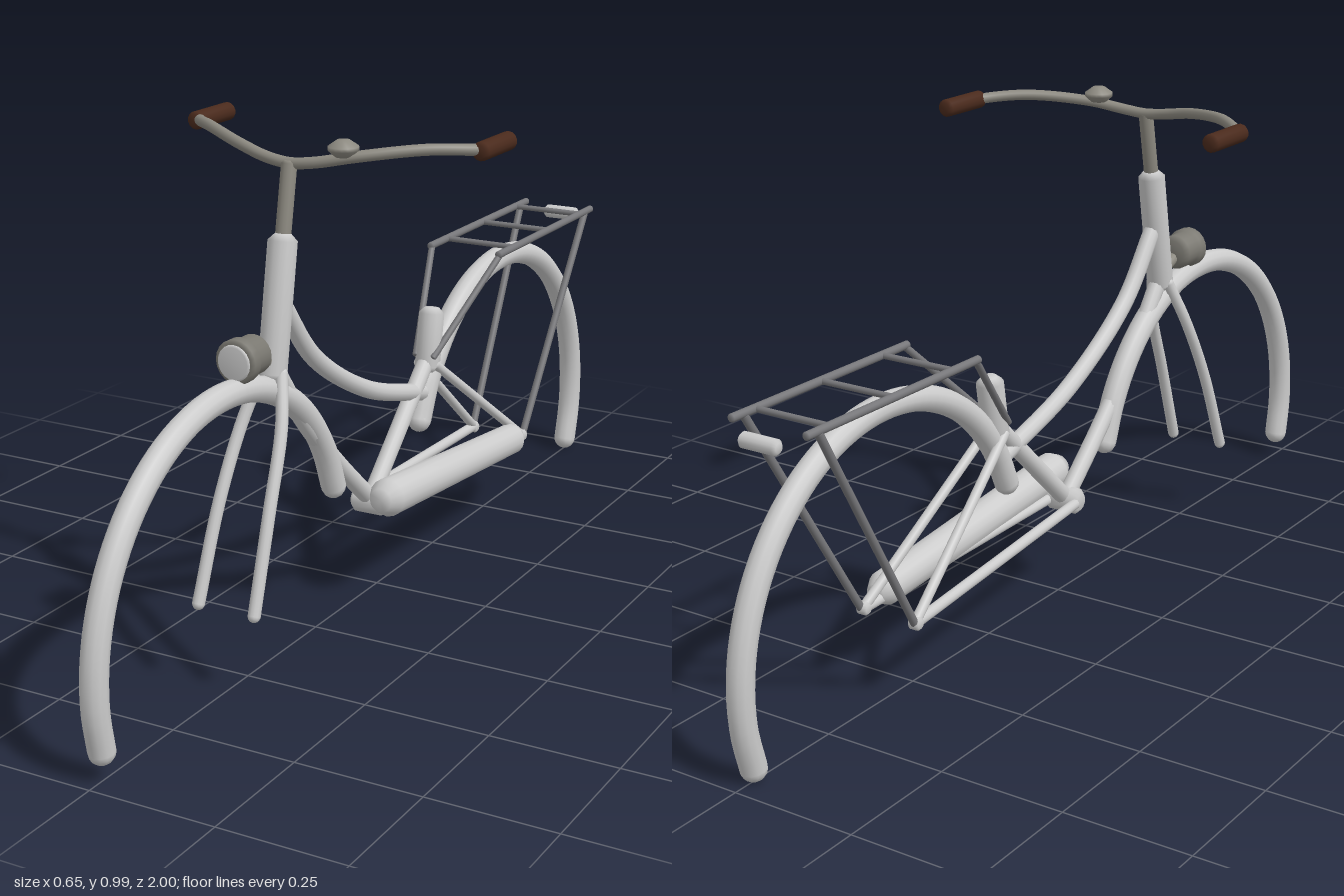
import * as THREE from 'three';

const mat = (color) => new THREE.MeshStandardMaterial({ color });
const V = (p) => new THREE.Vector3(...p);

export function createModel() {
  const model = new THREE.Group();
  const paint = mat(0xcccccc), metal = mat(0x8c8980), rackMetal = mat(0x77777a), leather = mat(0x4a2a1c);

  const add = (name, geometry, material, parent = model) => {
    const mesh = new THREE.Mesh(geometry, material);
    mesh.name = name;
    parent.add(mesh);
    return mesh;
  };

  // Solid of revolution laid from a to b; profile rows are [radius, distance from a]
  const turned = (name, a, b, profile, material, sides = 16) => {
    const dir = V(b).sub(V(a)).normalize();
    const g = new THREE.LatheGeometry(profile.map((p) => new THREE.Vector2(...p)), sides);
    const m = add(name, g, material);
    m.position.copy(V(a));
    m.quaternion.setFromUnitVectors(new THREE.Vector3(0, 1, 0), dir);
    return m;
  };

  // Straight rod with small chamfers at both ends
  const rod = (name, a, b, r, material, chamfer = r * 0.35, sides = 14) => {
    const l = V(a).distanceTo(V(b)), c = chamfer;
    return turned(name, a, b, [[0, 0], [r - c, 0], [r, c], [r, l - c], [r - c, l], [0, l]], material, sides);
  };

  // Curved tube with rounded ends
  const bent = (name, points, r, material, segments = 32) => {
    const group = new THREE.Group();
    group.name = name;
    model.add(group);
    const curve = new THREE.CatmullRomCurve3(points.map(V));
    add(name + 'Tube', new THREE.TubeGeometry(curve, segments, r, 12), material, group);
    for (const p of [points[0], points[points.length - 1]])
      add(name + 'End', new THREE.SphereGeometry(r, 12, 8), material, group).position.set(...p);
    return group;
  };

  // Mudguards: arcs around each axle
  const fender = (name, z, from, to) => {
    const pts = [];
    for (let i = 0; i <= 16; i++) {
      const t = THREE.MathUtils.degToRad(from + ((to - from) * i) / 16);
      pts.push([0, 0.163 + 0.407 * Math.sin(t), z + 0.407 * Math.cos(t)]);
    }
    bent(name, pts, 0.025, paint, 56);
  };
  fender('frontFender', 0.568, -15, 164);
  fender('rearFender', -0.568, 20, 199.5);

  // Main frame
  rod('headTube', [0, 0.555, 0.4], [0, 0.822, 0.353], 0.028, paint, 0.013);
  bent('topTube', [[0, 0.69, 0.36], [0, 0.56, 0.25], [0, 0.435, 0.04], [0, 0.368, -0.17], [0, 0.362, -0.19]], 0.018, paint);
  bent('downTube', [[0, 0.575, 0.39], [0, 0.44, 0.285], [0, 0.325, 0.17], [0, 0.2, 0.03]], 0.018, paint);
  rod('seatTube', [0, 0.195, 0.03], [0, 0.43, -0.22], 0.018, paint);
  rod('seatLug', [0, 0.4, -0.218], [0, 0.535, -0.24], 0.027, paint, 0.012);
  rod('bottomBracket', [-0.035, 0.195, 0.03], [0.04, 0.195, 0.03], 0.027, paint);

  // Paired parts on both sides
  for (const s of [-1, 1]) {
    const side = s > 0 ? 'left' : 'right';
    bent(side + 'ForkBlade', [[0.02 * s, 0.57, 0.398], [0.042 * s, 0.48, 0.437], [0.054 * s, 0.34, 0.503], [0.06 * s, 0.163, 0.57]], 0.012, paint, 20);
    rod(side + 'ChainStay', [0.03 * s, 0.195, 0.02], [0.06 * s, 0.163, -0.568], 0.011, paint);
    rod(side + 'SeatStay', [0.02 * s, 0.42, -0.215], [0.06 * s, 0.163, -0.568], 0.01, paint);
    rod(side + 'Dropout', [0.048 * s, 0.163, -0.565], [0.072 * s, 0.163, -0.565], 0.013, paint);
    rod(side + 'RackRail', [0.081 * s, 0.624, -0.385], [0.081 * s, 0.624, -0.878], 0.008, rackMetal);
    rod(side + 'RackFrontStay', [0.081 * s, 0.622, -0.395], [0.02 * s, 0.435, -0.205], 0.007, rackMetal);
    rod(side + 'RackRearStay', [0.081 * s, 0.622, -0.845], [0.062 * s, 0.163, -0.57], 0.008, rackMetal);
    rod(side + 'Grip', [0.307 * s, 0.97, 0.175], [0.307 * s, 0.97, 0.048], 0.018, leather, 0.006);
  }

  // Rack cross bars and rear reflector
  for (const z of [-0.465, -0.64, -0.815])
    rod('rackCrossBar', [-0.081, 0.624, z], [0.081, 0.624, z], 0.006, rackMetal);
  rod('rearReflector', [-0.041, 0.602, -0.897], [0.041, 0.602, -0.897], 0.015, paint, 0.006);

  // Stem and swept handlebar
  rod('stem', [0, 0.8, 0.357], [0, 0.952, 0.328], 0.015, metal);
  const half = [[0.307, 0.97, 0.14], [0.3, 0.972, 0.165], [0.23, 0.977, 0.232], [0.12, 0.965, 0.3], [0.05, 0.952, 0.322]];
  bent('handlebar', [...half, [0, 0.947, 0.326], ...half.map(([x, y, z]) => [-x, y, z]).reverse()], 0.011, metal, 60);

  // Bell
  turned('bell', [0.1, 0.965, 0.306], [0.1, 1, 0.306],
    [[0, 0], [0.016, 0], [0.029, 0.012], [0.029, 0.019], [0.012, 0.031], [0, 0.032]], metal);

  // Headlight with lens and bracket
  turned('headlight', [0, 0.622, 0.447], [0, 0.622, 0.53],
    [[0, 0], [0.028, 0], [0.037, 0.012], [0.037, 0.05], [0.042, 0.055], [0.042, 0.074], [0.036, 0.08], [0, 0.08]], mat(0x7b7972), 20);
  rod('headlightLens', [0, 0.622, 0.52], [0, 0.622, 0.531], 0.034, paint, 0.004, 20);
  rod('headlightBracket', [0, 0.59, 0.4], [0, 0.615, 0.46], 0.012, metal);

  // Tapered chain case on the left side
  turned('chainCase', [0.066, 0.231, 0.105], [0.066, 0.173, -0.522],
    [[0, 0], [0.024, 0], [0.039, 0.028], [0.034, 0.605], [0.02, 0.63], [0, 0.63]], paint, 16);

  return model;
}
